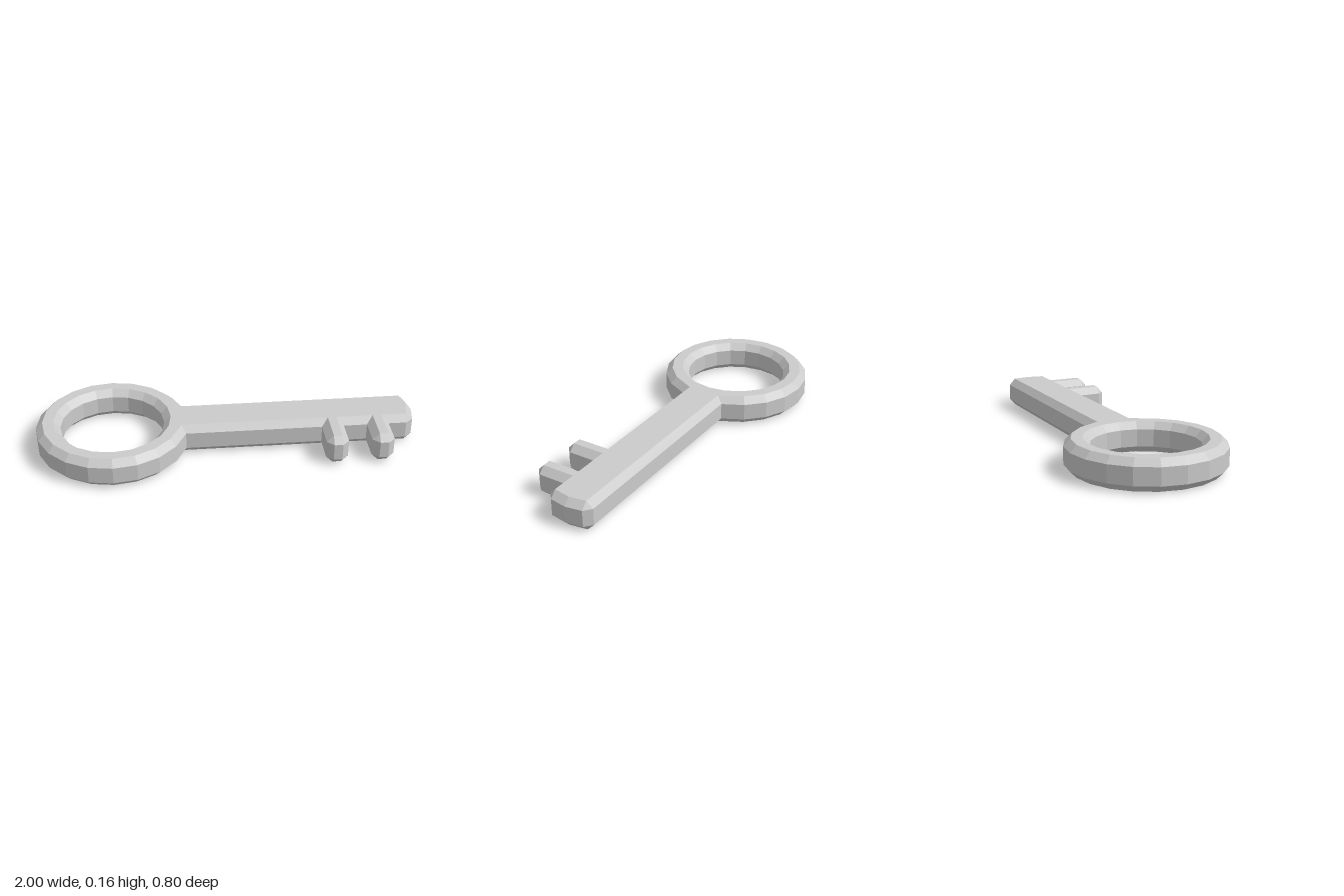
import * as THREE from 'three';
import { mergeGeometries } from 'three/addons/utils/BufferGeometryUtils.js';

const HEIGHT = 0.16, BEVEL = 0.035, RING_X = -0.6, SIDES = 20;

const ringPoint = (r, i) => {
  const a = (i / SIDES) * Math.PI * 2;
  return [RING_X + r * Math.cos(a), r * Math.sin(a)];
};

// Outline as pairs of [x, z]: the wide side wall and the narrower flat face.
function keyOutline() {
  const wall = [], face = [];
  const add = (w, f) => { wall.push(w); face.push(f); };

  // ring, leaving out the side where the shaft joins
  add(ringPoint(0.4, 1), [-0.24, 0.09]);
  for (let i = 2; i <= SIDES - 2; i++) add(ringPoint(0.4, i), ringPoint(0.365, i));
  add(ringPoint(0.4, SIDES - 1), [-0.24, -0.09]);

  // slightly pointed shaft end with chamfered corners
  add([0.945, -0.124], [0.95, -0.09]);
  add([0.985, -0.09], [0.95, -0.09]);
  add([1, 0], [0.965, 0]);
  add([0.985, 0.09], [0.95, 0.09]);
  add([0.945, 0.124], [0.95, 0.09]);

  // two teeth on the front edge of the shaft
  for (const x of [0.792, 0.553]) {
    const w = 0.058, f = 0.023;
    add([x + w, 0.124], [x + f, 0.09]);
    add([x + w, 0.266], [x + f, 0.266]);
    add([x + f, 0.3], [x + f, 0.266]);
    add([x - f, 0.3], [x - f, 0.266]);
    add([x - w, 0.266], [x - f, 0.266]);
    add([x - w, 0.124], [x - f, 0.09]);
  }
  return { wall, face };
}

// Hole outline, running the other way round so its walls face inwards.
function holeOutline() {
  const wall = [], face = [];
  for (let i = SIDES; i > 0; i--) {
    wall.push(ringPoint(0.272, i));
    face.push(ringPoint(0.307, i));
  }
  return { wall, face };
}

// Lower bevel, upright wall and upper bevel around one outline.
function sideWalls({ wall, face }) {
  const rows = [[face, 0], [wall, BEVEL], [wall, HEIGHT - BEVEL], [face, HEIGHT]];
  const positions = [];
  const same = (p, q) => p.every((v, k) => v === q[k]);
  const triangle = (a, b, c) => {
    if (!same(a, b) && !same(b, c) && !same(c, a)) positions.push(...a, ...b, ...c);
  };
  for (let r = 0; r < 3; r++) {
    const at = (row, i) => {
      const [loop, y] = rows[row];
      const [x, z] = loop[i % loop.length];
      return [x, y, z];
    };
    for (let i = 0; i < wall.length; i++) {
      const a0 = at(r, i), b0 = at(r, i + 1), a1 = at(r + 1, i), b1 = at(r + 1, i + 1);
      triangle(b0, a0, a1);
      triangle(b0, a1, b1);
    }
  }
  const geometry = new THREE.BufferGeometry();
  geometry.setAttribute('position', new THREE.Float32BufferAttribute(positions, 3));
  return geometry;
}

// Flat face with the hole; side is 1 for the top and -1 for the bottom.
function flatFace(outer, hole, side, y) {
  const toPoints = (loop) => loop
    .filter((p, i) => {
      const q = loop[(i + 1) % loop.length];
      return p[0] !== q[0] || p[1] !== q[1];
    })
    .map(([x, z]) => new THREE.Vector2(x, -side * z));
  const shape = new THREE.Shape(toPoints(outer.face));
  shape.holes.push(new THREE.Path(toPoints(hole.face)));
  const geometry = new THREE.ShapeGeometry(shape).toNonIndexed();
  geometry.deleteAttribute('uv');
  geometry.deleteAttribute('normal');
  return geometry.rotateX(-side * Math.PI / 2).translate(0, y, 0);
}

export function createModel() {
  const outer = keyOutline(), hole = holeOutline();
  const geometry = mergeGeometries([
    sideWalls(outer),
    sideWalls(hole),
    flatFace(outer, hole, 1, HEIGHT),
    flatFace(outer, hole, -1, 0),
  ]);
  geometry.computeVertexNormals();

  const key = new THREE.Mesh(
    geometry,
    new THREE.MeshStandardMaterial({ color: 0xcccccc, flatShading: true }),
  );
  key.name = 'key';
  const group = new THREE.Group();
  group.name = 'keyModel';
  group.add(key);
  return group;
}
